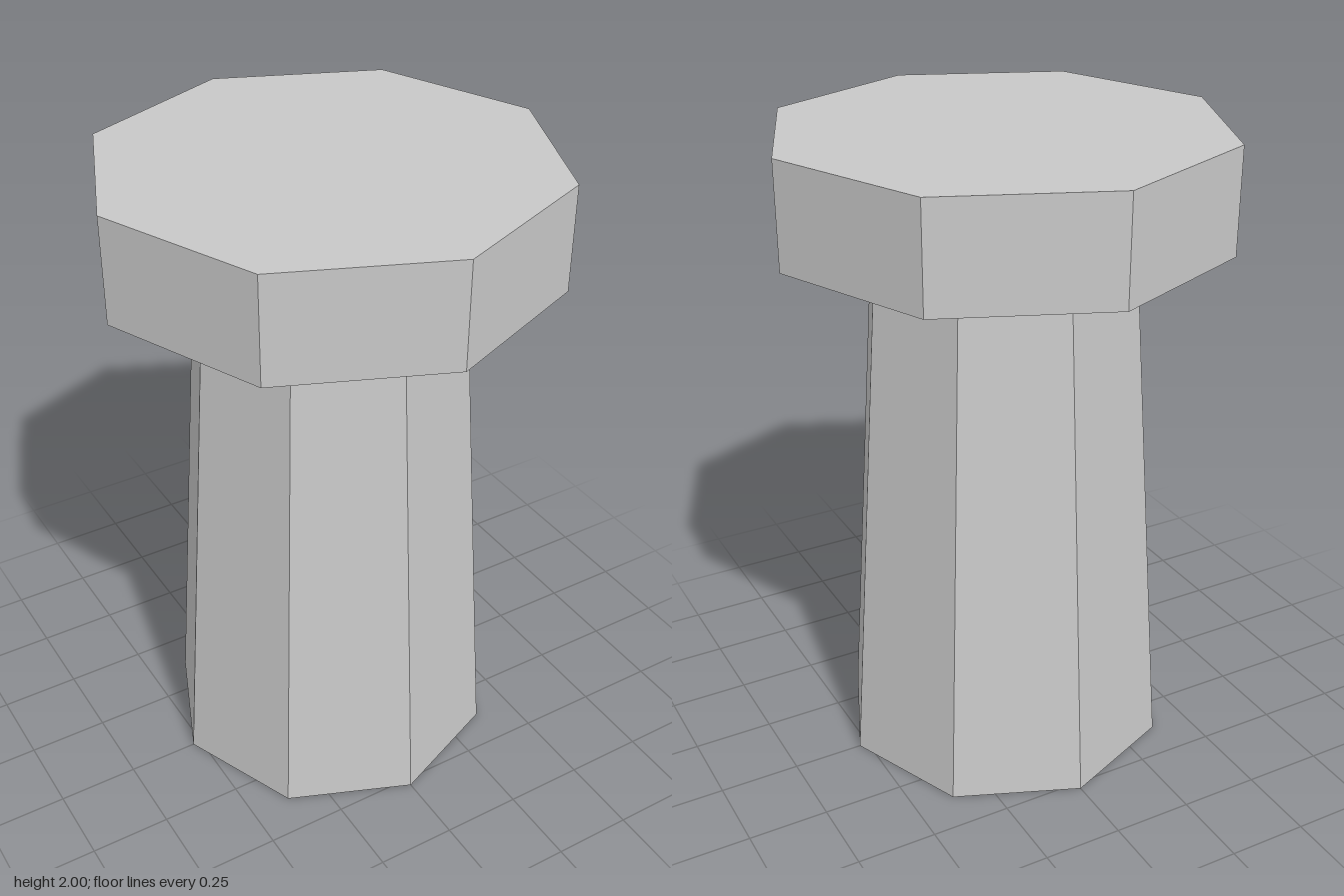
import * as THREE from 'three';

export function createModel() {
  const group = new THREE.Group();
  group.name = 'pillar';
  const stone = new THREE.MeshStandardMaterial({ color: 0xc8c8c8, flatShading: true });
  stone.name = 'light grey';

  // Eight-sided part standing on a given height, corners on the x and z axes
  const addOctagon = (name, topRadius, bottomRadius, bottom, top) => {
    const geometry = new THREE.CylinderGeometry(topRadius, bottomRadius, top - bottom, 8);
    const mesh = new THREE.Mesh(geometry, stone);
    mesh.name = name;
    mesh.position.y = (bottom + top) / 2;
    group.add(mesh);
  };

  // Tapered shaft and the wide cap resting on it
  addOctagon('shaft', 0.408, 0.528, 0, 1.677);
  addOctagon('cap', 0.691, 0.691, 1.677, 2);

  return group;
}
